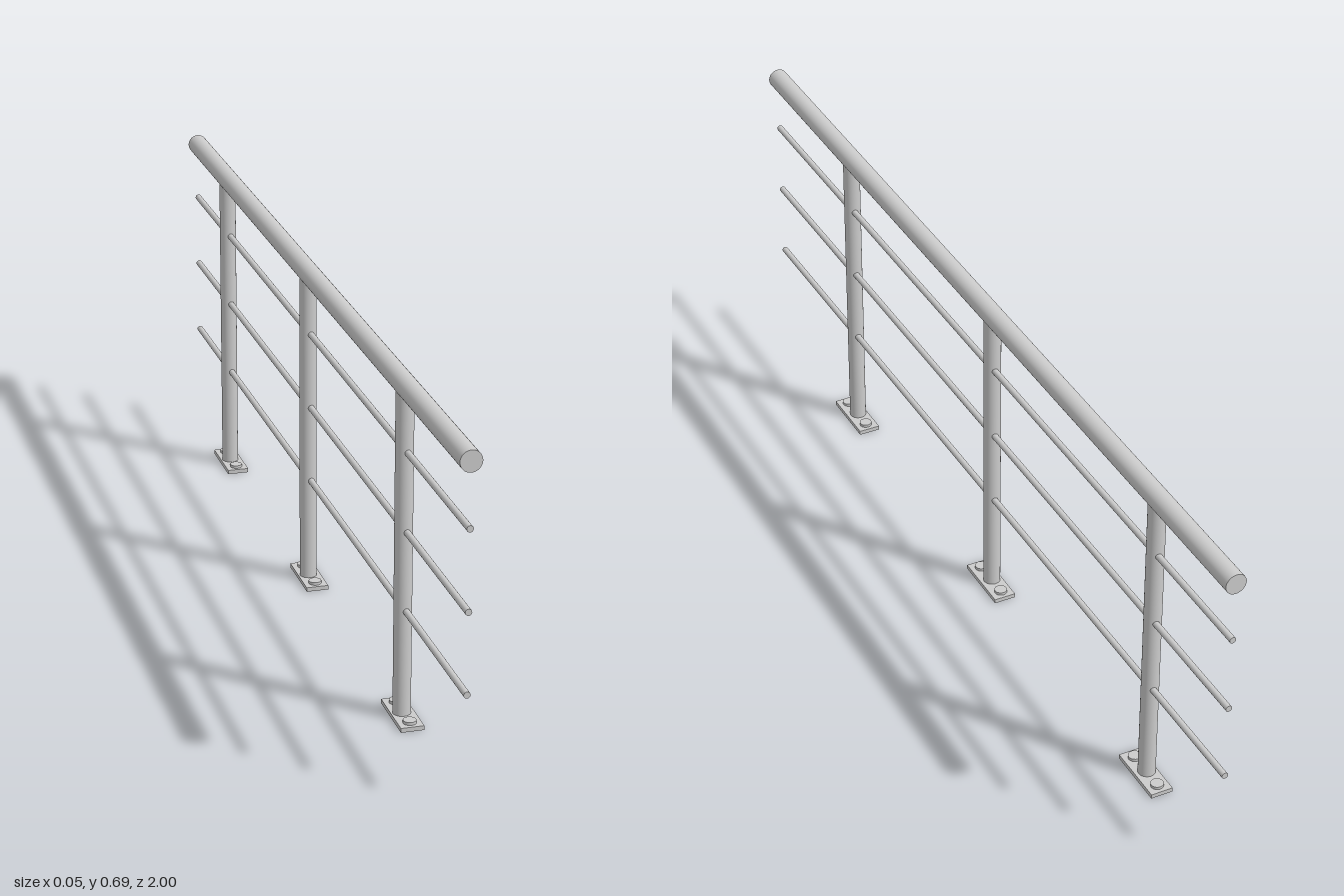
import * as THREE from 'three';

const material = new THREE.MeshStandardMaterial({ color: 0xcccccc });

function add(parent, name, geometry, x, y, z) {
  const mesh = new THREE.Mesh(geometry, material);
  mesh.name = name;
  mesh.position.set(x, y, z);
  parent.add(mesh);
  return mesh;
}

// Round bar running the full length along z
function lengthwiseBar(parent, name, radius, y, sides) {
  const geometry = new THREE.CylinderGeometry(radius, radius, 2, sides).rotateX(Math.PI / 2);
  return add(parent, name, geometry, 0, y, 0);
}

// Base plate, hollow underneath: a thin top with a rim around the edge
function createBasePlate() {
  const plate = new THREE.Group();
  plate.name = 'basePlate';
  const w = 0.046, l = 0.13, h = 0.009, t = 0.004, rim = 0.006;
  add(plate, 'plateTop', new THREE.BoxGeometry(w, t, l), 0, h - t / 2, 0);
  for (const s of [-1, 1]) {
    add(plate, 'plateSideRim', new THREE.BoxGeometry(rim, h - t, l), s * (w - rim) / 2, (h - t) / 2, 0);
    add(plate, 'plateEndRim', new THREE.BoxGeometry(w - 2 * rim, h - t, rim), 0, (h - t) / 2, s * (l - rim) / 2);
    add(plate, 'bolt', new THREE.CylinderGeometry(0.013, 0.013, 0.007, 20), 0, 0.0115, s * 0.045);
  }
  return plate;
}

// Upright post standing on its bolted plate
function createPost(z) {
  const post = new THREE.Group();
  post.name = 'post';
  const bottom = 0.008, top = 0.658;
  const tube = new THREE.CylinderGeometry(0.0175, 0.0175, top - bottom, 32);
  add(post, 'upright', tube, -0.002, (top + bottom) / 2, 0);
  post.add(createBasePlate());
  post.position.z = z;
  return post;
}

export function createModel() {
  const railing = new THREE.Group();
  railing.name = 'railing';

  lengthwiseBar(railing, 'handrail', 0.021, 0.669, 40);
  for (const y of [0.225, 0.385, 0.543]) lengthwiseBar(railing, 'infillBar', 0.0065, y, 20);
  for (const z of [0.618, -0.048, -0.714]) railing.add(createPost(z));

  return railing;
}
